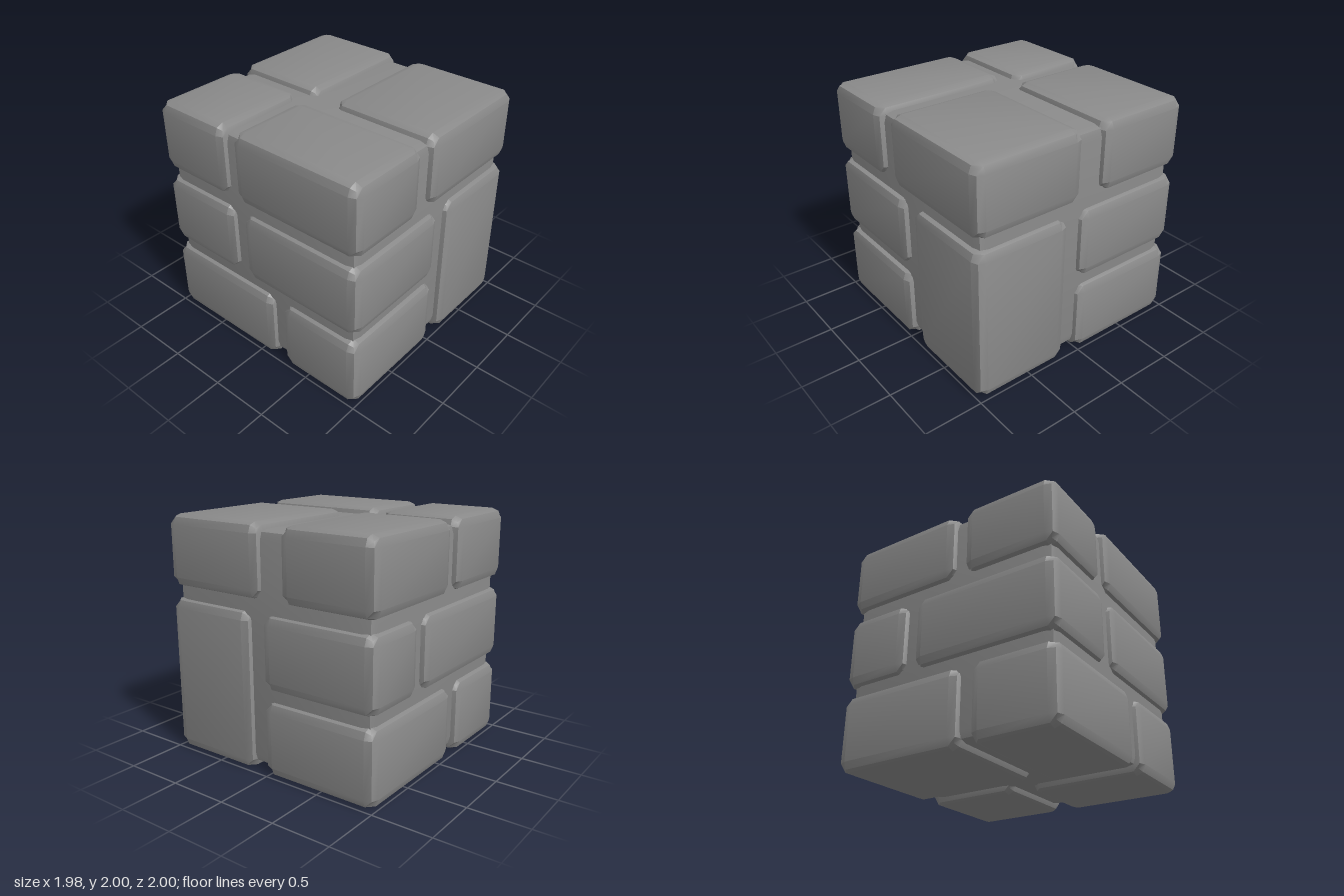
import * as THREE from 'three';
import { toCreasedNormals } from 'three/addons/utils/BufferGeometryUtils.js';

const stoneGrey = new THREE.MeshStandardMaterial({ color: 0x8a8a8a });
stoneGrey.name = 'stone grey';

// Box between two corners, with slightly pillowed faces and softened edges and corners
function stoneBlock(name, min, max, band = 0.08, edgePull = 0.022, cornerPull = 0.045) {
  const geometry = new THREE.BoxGeometry(1, 1, 1, 3, 3, 3);
  const position = geometry.attributes.position;
  for (let i = 0; i < position.count; i++) {
    const p = [position.getX(i), position.getY(i), position.getZ(i)];
    const extremes = p.filter((c) => Math.abs(c) > 0.4).length;
    const pull = [0, 0, edgePull, cornerPull][extremes];
    const q = p.map((c, axis) => {
      const inset = Math.abs(c) > 0.4 ? pull : band;
      return c < 0 ? min[axis] + inset : max[axis] - inset;
    });
    position.setXYZ(i, q[0], q[1], q[2]);
  }
  geometry.deleteAttribute('uv');
  const mesh = new THREE.Mesh(toCreasedNormals(geometry, THREE.MathUtils.degToRad(32)), stoneGrey);
  mesh.name = name;
  return mesh;
}

// Courses of bricks: name, x range, z range
const courses = [
  { y: [1.41, 2], bricks: [
    ['topFrontRightBrick', [-0.99, -0.25], [-0.18, 1]],
    ['topFrontLeftBrick', [-0.12, 0.99], [0.04, 1]],
    ['topBackRightBrick', [-0.99, -0.17], [-1, -0.26]],
    ['topBackLeftBrick', [-0.08, 0.99], [-1, -0.16]],
  ] },
  { y: [0.71, 1.32], bricks: [
    ['middleFrontRightBrick', [-0.99, 0.02], [-0.13, 1]],
    ['middleBackRightBrick', [-0.99, 0.29], [-1, -0.22]],
    ['middleBackLeftBrick', [0.38, 0.99], [-1, 0.03]],
  ] },
  { y: [0, 0.63], bricks: [
    ['bottomFrontRightBrick', [-0.99, 0.02], [0.25, 1]],
    ['bottomBackRightBrick', [-0.99, -0.26], [-1, 0.16]],
    ['bottomBackLeftBrick', [-0.16, 0.99], [-1, 0.03]],
  ] },
  // Tall brick spanning the two lower courses
  { y: [0, 1.32], bricks: [['tallFrontLeftBrick', [0.14, 0.99], [0.15, 1]]] },
];

export function createModel() {
  const model = new THREE.Group();
  model.name = 'brickCube';
  // Mortar core seen in the grooves
  model.add(stoneBlock('mortarCore', [-0.94, 0.06, -0.945], [0.94, 1.945, 0.945], 0.08, 0.015, 0.03));
  for (const { y, bricks } of courses) {
    for (const [name, x, z] of bricks) {
      model.add(stoneBlock(name, [x[0], y[0], z[0]], [x[1], y[1], z[1]]));
    }
  }
  return model;
}
